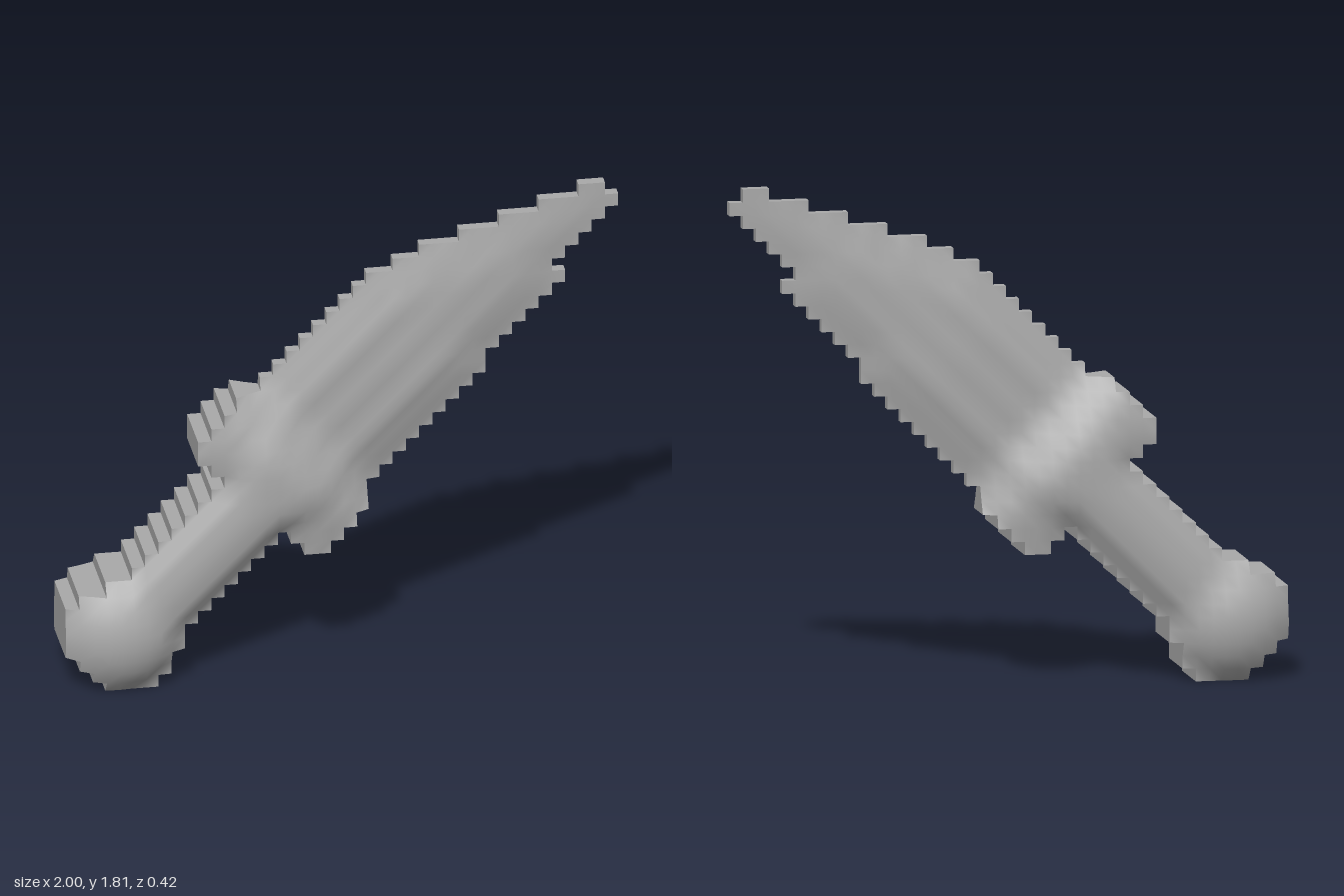
import * as THREE from 'three';

// Stepped outline: first and last column of every row, bottom to top
const LEFT = [3, 2, 1, 0, 0, 0, 0, 1, 3, 5, 6, 7, 8, 9, 10, 11, 12, 11, 10, 10, 11, 12, 13, 15,
  16, 17, 18, 19, 20, 21, 22, 23, 25, 27, 30, 33, 36, 39];
const RIGHT = [7, 8, 8, 9, 9, 10, 11, 12, 13, 14, 20, 21, 22, 23, 23, 24, 25, 26, 27, 28, 29, 30, 31, 32,
  32, 33, 34, 35, 36, 37, 38, 37, 38, 39, 40, 41, 42, 41];
const COLS = 42, ROWS = 38, S = 2 / COLS;

// Notch between the grip and the lower arm of the guard
const inNotch = (c, r) => (r === 10 && c >= 15 && c < 18) || (r === 11 && c === 16);
const filled = (c, r) => r >= 0 && r < ROWS && c >= LEFT[r] && c < RIGHT[r] && !inNotch(c, r);

// Distance from a grid corner to the nearest empty cell
function edgeDistance(i, j) {
  let best = 5;
  for (let r = j - 5; r < j + 5; r++) {
    for (let c = i - 5; c < i + 5; c++) {
      if (filled(c, r)) continue;
      const dx = Math.max(0, Math.abs(c + 0.5 - i) - 0.5);
      const dy = Math.max(0, Math.abs(r + 0.5 - j) - 0.5);
      best = Math.min(best, Math.hypot(dx, dy));
    }
  }
  return best * S;
}

const round = (d, w) => Math.sqrt(1 - (1 - Math.min(d / w, 1)) ** 2);

// Half thickness at a grid corner
function halfDepth(i, j) {
  const x = -1 + i * S, y = j * S, d = edgeDistance(i, j);
  const t = x + y;          // along the dagger
  const u = y - x - 1;      // across the dagger
  // grip and guard
  const crown = 0.13 + 0.04 * Math.exp(-((u / 0.25) ** 4));
  let hilt = 0.115 + (crown - 0.115) * round(d, 0.14);
  // rounded pommel
  const r2 = (x + 0.8) ** 2 + (y - 0.21) ** 2;
  hilt = Math.max(hilt, Math.sqrt(Math.max(0, 0.0441 - 0.68 * r2)));
  // blade, thinning to the tip, with shallow grooves
  const k = THREE.MathUtils.clamp((2.75 - t) / 1.4, 0, 1);
  const thick = 0.02 + 0.044 * Math.pow(k, 0.8);
  const groove = 0.003 * k * Math.cos(u * 32);
  const blade = 0.02 + (thick - 0.02 + groove) * THREE.MathUtils.smoothstep(d, -0.04, 0.16)
    * Math.min(1, d / 0.04);
  return THREE.MathUtils.lerp(hilt, blade, THREE.MathUtils.smoothstep(t, 0.6, 0.86));
}

const partOf = (c, r) => {
  const t = -1 + (c + r + 1) * S;
  return t < -0.3 ? 'pommel' : t < 0.33 ? 'grip' : t < 0.78 ? 'guard' : 'blade';
};

export function createModel() {
  const group = new THREE.Group();
  const steel = new THREE.MeshStandardMaterial({ color: 0xaaaaaa });
  steel.name = 'grey steel';

  const W = COLS + 1;
  const depth = [];
  for (let j = 0; j <= ROWS; j++) for (let i = 0; i <= COLS; i++) depth.push(halfDepth(i, j));
  const point = (i, j, s) => [-1 + i * S, j * S, s * depth[j * W + i]];

  const faces = {}, walls = {};
  for (const name of ['pommel', 'grip', 'guard', 'blade']) {
    faces[name] = [];
    walls[name] = [];
  }

  for (let r = 0; r < ROWS; r++) {
    for (let c = 0; c < COLS; c++) {
      if (!filled(c, r)) continue;
      const name = partOf(c, r);
      // front and back faces of the cell
      const a = r * W + c, b = a + 1, e = b + W, f = a + W, n = W * (ROWS + 1);
      faces[name].push(a, b, e, a, e, f, n + a, n + e, n + b, n + a, n + f, n + e);
      // stepped walls along the outline
      const corners = [[c, r], [c + 1, r], [c + 1, r + 1], [c, r + 1]];
      const next = [[c, r - 1], [c + 1, r], [c, r + 1], [c - 1, r]];
      next.forEach((cell, k) => {
        if (filled(...cell)) return;
        const p = corners[k], q = corners[(k + 1) % 4];
        const pf = point(...p, 1), pb = point(...p, -1), qb = point(...q, -1), qf = point(...q, 1);
        walls[name].push(...pf, ...pb, ...qb, ...pf, ...qb, ...qf);
      });
    }
  }

  // Shared smooth surface for all parts, so shading flows across the joins
  const positions = [];
  for (const s of [1, -1]) {
    for (let j = 0; j <= ROWS; j++) for (let i = 0; i <= COLS; i++) positions.push(...point(i, j, s));
  }
  const whole = new THREE.BufferGeometry();
  whole.setAttribute('position', new THREE.Float32BufferAttribute(positions, 3));
  whole.setIndex(Object.values(faces).flat());
  whole.computeVertexNormals();

  for (const name of Object.keys(faces)) {
    const part = new THREE.Group();
    part.name = name;

    // keep only the corners this part uses
    const pos = [], nor = [];
    const used = new Map();
    const index = faces[name].map((v) => {
      if (!used.has(v)) {
        used.set(v, used.size);
        for (let k = 0; k < 3; k++) {
          pos.push(whole.attributes.position.array[v * 3 + k]);
          nor.push(whole.attributes.normal.array[v * 3 + k]);
        }
      }
      return used.get(v);
    });
    const skin = new THREE.BufferGeometry();
    skin.setAttribute('position', new THREE.Float32BufferAttribute(pos, 3));
    skin.setAttribute('normal', new THREE.Float32BufferAttribute(nor, 3));
    skin.setIndex(index);
    const sides = new THREE.Mesh(skin, steel);
    sides.name = name + 'Faces';

    const rim = new THREE.BufferGeometry();
    rim.setAttribute('position', new THREE.Float32BufferAttribute(walls[name], 3));
    rim.computeVertexNormals();
    const edge = new THREE.Mesh(rim, steel);
    edge.name = name + 'Edge';

    part.add(sides, edge);
    group.add(part);
  }
  group.name = 'dagger';
  return group;
}
